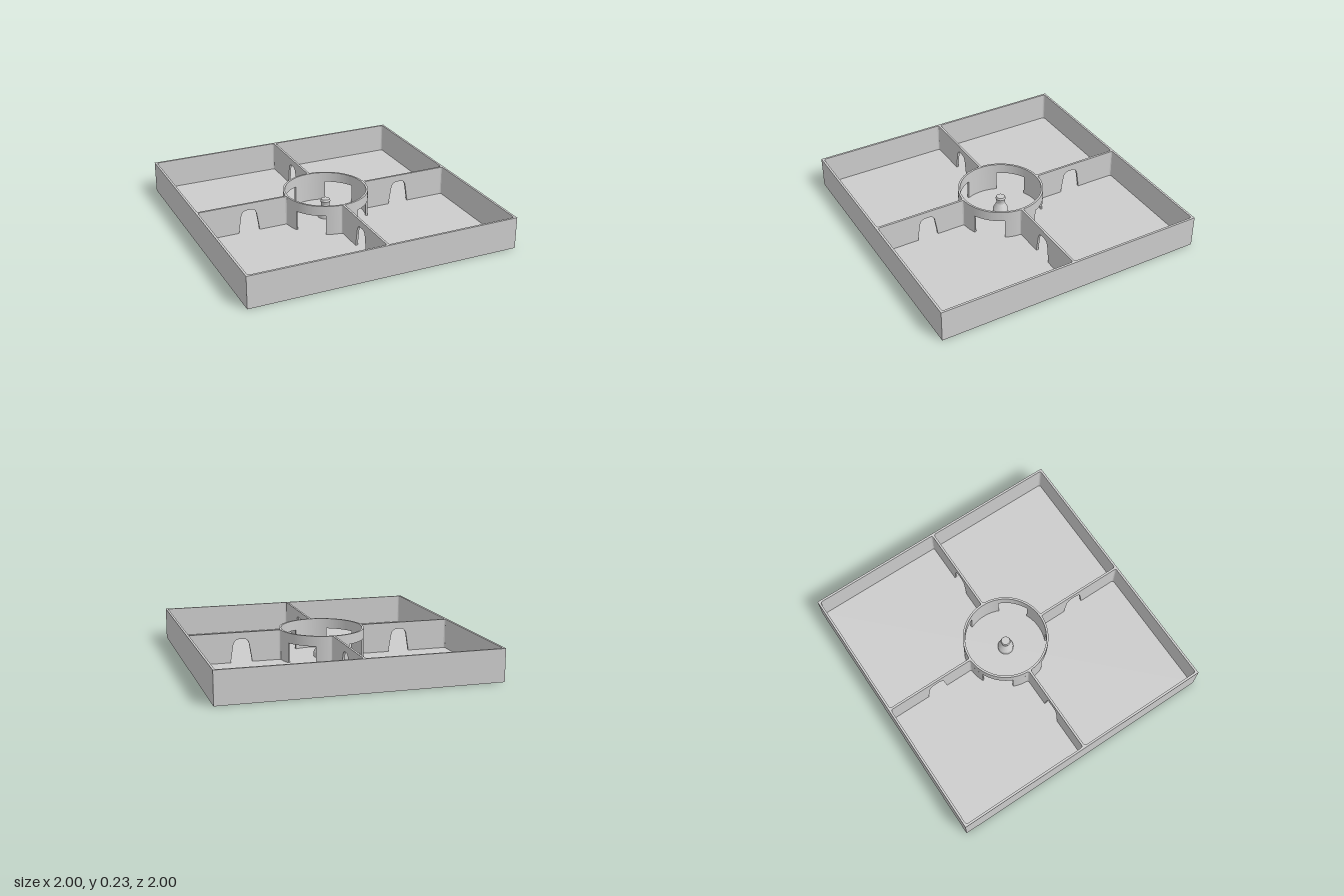
import * as THREE from 'three';

const H = 0.235;      // overall height
const FLOOR = 0.014;  // floor thickness
const T = 0.016;      // wall thickness
const R_OUT = 0.312, R_IN = 0.297;
const WINDOW_TOP = 0.16, WINDOW_HALF = 0.37; // ring window height, half angle
const FILLET = 0.016;

export function createModel() {
  const group = new THREE.Group();
  const mat = new THREE.MeshStandardMaterial({ color: 0xcccccc });

  const add = (name, geometry, parent = group) => {
    const mesh = new THREE.Mesh(geometry, mat);
    mesh.name = name;
    parent.add(mesh);
    return mesh;
  };

  // extrude a plan outline upwards from y0 to y1
  const extrudeUp = (shape, y0, y1, curveSegments = 12) =>
    new THREE.ExtrudeGeometry(shape, { depth: y1 - y0, bevelEnabled: false, curveSegments })
      .rotateX(-Math.PI / 2).translate(0, y0, 0);

  // floor plate
  const floor = add('floor', new THREE.BoxGeometry(2, FLOOR, 2));
  floor.position.y = FLOOR / 2;

  // outer walls: square frame with slightly rounded inner corners
  const frame = new THREE.Shape();
  frame.moveTo(-1, -1).lineTo(1, -1).lineTo(1, 1).lineTo(-1, 1).closePath();
  const inner = new THREE.Path();
  const a = 1 - T, c = a - FILLET;
  inner.absarc(c, c, FILLET, 0, Math.PI / 2);
  inner.absarc(-c, c, FILLET, Math.PI / 2, Math.PI);
  inner.absarc(-c, -c, FILLET, Math.PI, 1.5 * Math.PI);
  inner.absarc(c, -c, FILLET, 1.5 * Math.PI, 2 * Math.PI);
  inner.closePath();
  frame.holes.push(inner);
  add('outerWalls', extrudeUp(frame, FLOOR, H, 5));

  // central ring: continuous band on top, four legs between the windows
  const band = new THREE.Shape().absarc(0, 0, R_OUT, 0, Math.PI * 2);
  band.holes.push(new THREE.Path().absarc(0, 0, R_IN, 0, Math.PI * 2));
  add('ringBand', extrudeUp(band, WINDOW_TOP, H, 64));

  const legHalf = Math.PI / 4 - WINDOW_HALF;
  const leg = new THREE.Shape();
  leg.absarc(0, 0, R_OUT, -legHalf, legHalf, false);
  leg.absarc(0, 0, R_IN, legHalf, -legHalf, true);
  leg.closePath();
  const legGeo = extrudeUp(leg, FLOOR, WINDOW_TOP, 16);

  // divider side outline with a tapered, round-topped notch open to the floor
  const side = new THREE.Shape();
  const mid = 0.605, notchTop = 0.185;
  side.moveTo(0.304, FLOOR).lineTo(mid - 0.08, FLOOR);
  side.lineTo(mid - 0.06, notchTop - 0.045);
  side.quadraticCurveTo(mid - 0.052, notchTop, mid - 0.015, notchTop);
  side.lineTo(mid + 0.015, notchTop);
  side.quadraticCurveTo(mid + 0.052, notchTop, mid + 0.06, notchTop - 0.045);
  side.lineTo(mid + 0.08, FLOOR).lineTo(1 - T / 2, FLOOR);
  side.lineTo(1 - T / 2, H).lineTo(0.304, H).closePath();
  const dividerGeo = new THREE.ExtrudeGeometry(side, { depth: T, bevelEnabled: false, curveSegments: 8 })
    .translate(0, 0, -T / 2);

  // small concave fillet between a divider and the wall or ring it meets
  const filletGeo = (x, dir, s) => {
    const y = s * T / 2;
    const f = new THREE.Shape();
    f.moveTo(x, y).lineTo(x + dir * FILLET, y);
    f.quadraticCurveTo(x, y, x, y + s * FILLET);
    f.closePath();
    return extrudeUp(f, FLOOR, H, 5);
  };

  // four identical arms around the centre
  for (let i = 0; i < 4; i++) {
    const arm = new THREE.Group();
    arm.name = 'dividerArm' + (i + 1);
    arm.rotation.y = i * Math.PI / 2;
    add('ringLeg', legGeo, arm);
    add('divider', dividerGeo, arm);
    for (const s of [-1, 1]) {
      add('wallFillet', filletGeo(1 - T, -1, s), arm);
      add('ringFillet', filletGeo(R_OUT - 0.001, 1, s), arm);
    }
    group.add(arm);
  }

  // centre post: wide foot, conical shoulder, slim neck and small head
  const profile = [
    [0.057, FLOOR], [0.057, 0.05], [0.031, 0.1], [0.031, 0.115],
    [0.037, 0.14], [0.031, 0.155], [0, 0.155],
  ].map(([r, y]) => new THREE.Vector2(r, y));
  const post = new THREE.LatheGeometry(profile, 32).toNonIndexed();
  post.computeVertexNormals();
  add('centrePost', post);

  return group;
}
